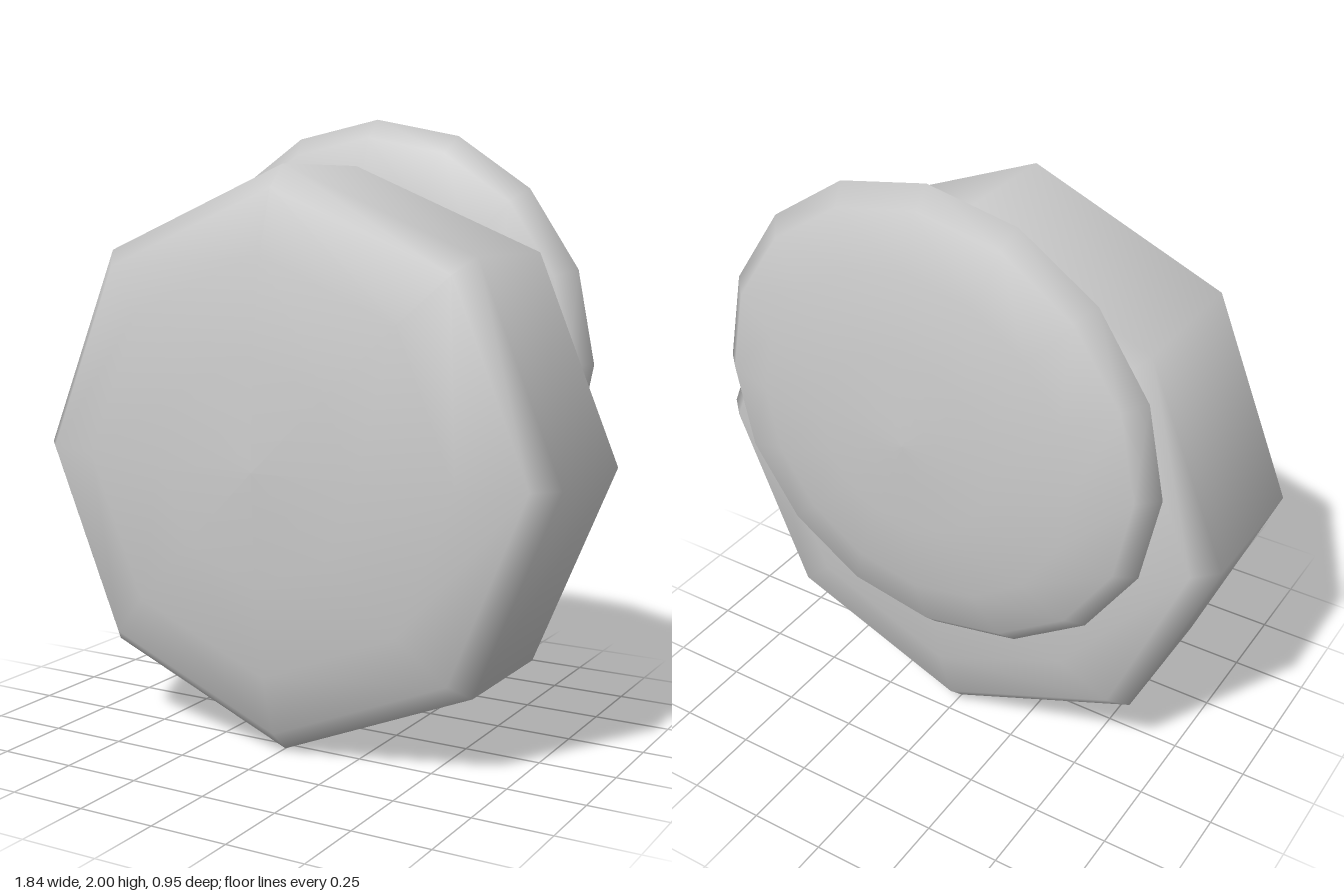
import * as THREE from 'three';

// Rounded disc facing along z; profile pairs are [radius, z], ordered back to front
function makeDisc(name, profile, sides, centreY) {
  const points = profile.map(([r, z]) => new THREE.Vector2(r, z));
  const geometry = new THREE.LatheGeometry(points, sides);
  geometry.rotateX(Math.PI / 2);
  const mesh = new THREE.Mesh(geometry, new THREE.MeshStandardMaterial({ color: 0xcccccc }));
  mesh.name = name;
  mesh.position.y = centreY;
  return mesh;
}

export function createModel() {
  const group = new THREE.Group();
  group.name = 'stackedDiscs';

  // Thick eight-sided body with domed faces
  group.add(makeDisc('body', [
    [0, -0.355], [0.35, -0.345], [0.65, -0.30], [0.85, -0.24], [0.92, -0.17],
    [0.92, 0.285], [0.85, 0.36], [0.65, 0.42], [0.35, 0.463], [0, 0.475],
  ], 8, 0.925));

  // Thin sixteen-sided disc set into the upper back
  group.add(makeDisc('backDisc', [
    [0, -0.477], [0.3, -0.467], [0.55, -0.432], [0.72, -0.377], [0.78, -0.317],
    [0.72, -0.252], [0.55, -0.197], [0.3, -0.162], [0, -0.152],
  ], 16, 1.22));

  return group;
}
